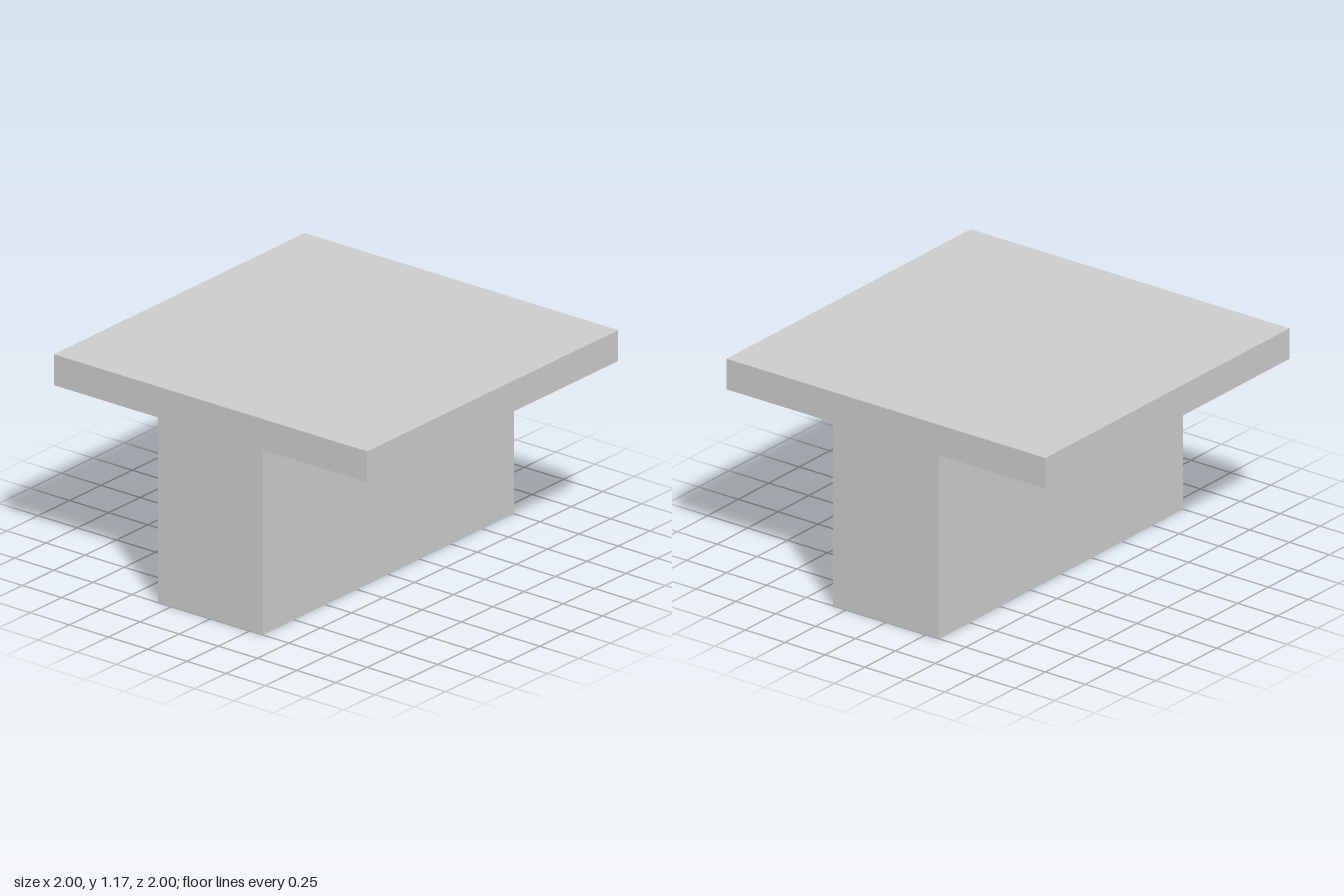
import * as THREE from 'three';

const HALF_SLAB = 1;       // half width of the top slab
const HALF_STEM = 1 / 3;   // half width of the upright stem
const STEM_TOP = 1;
const TOP = 7 / 6;
const DEPTH = 2;

export function createModel() {
  const group = new THREE.Group();
  group.name = 'tBeam';

  // T-shaped cross-section, counter-clockwise from the foot of the stem
  const section = new THREE.Shape([
    [-HALF_STEM, 0], [HALF_STEM, 0],
    [HALF_STEM, STEM_TOP], [HALF_SLAB, STEM_TOP],
    [HALF_SLAB, TOP], [-HALF_SLAB, TOP],
    [-HALF_SLAB, STEM_TOP], [-HALF_STEM, STEM_TOP],
  ].map(([x, y]) => new THREE.Vector2(x, y)));

  // Slab and stem run the full depth as one solid
  const geometry = new THREE.ExtrudeGeometry(section, { depth: DEPTH, bevelEnabled: false });
  geometry.translate(0, 0, -DEPTH / 2);

  const body = new THREE.Mesh(
    geometry,
    new THREE.MeshStandardMaterial({ color: 0xcccccc, flatShading: true }),
  );
  body.name = 'slabAndStem';
  group.add(body);
  return group;
}
